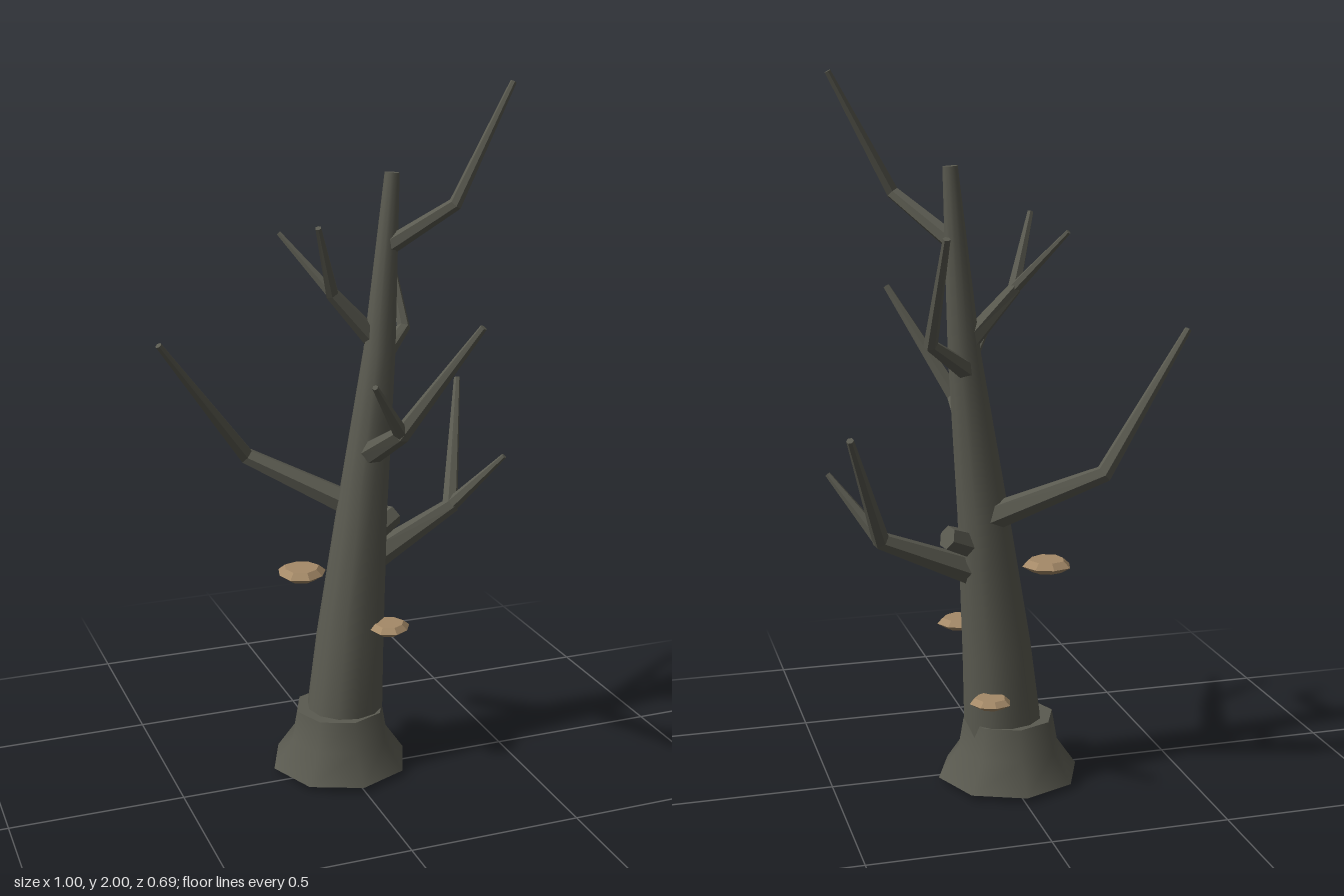
import * as THREE from 'three';
import { toCreasedNormals } from 'three/addons/utils/BufferGeometryUtils.js';

// Capped tapering tube through the given points, with mitred bends.
// wobble makes the rings slightly irregular.
function limb(points, radii, sides, crease = 0, wobble = 0) {
  const p = points.map((a) => new THREE.Vector3(...a));
  const last = p.length - 1;
  const u = new THREE.Vector3(1, 0, 0);
  const first = p[1].clone().sub(p[0]).normalize();
  if (Math.abs(first.x) > 0.8) u.set(0, 0, 1);
  const rings = p.map((c, i) => {
    const t = new THREE.Vector3();
    if (i > 0) t.add(c.clone().sub(p[i - 1]).normalize());
    if (i < last) t.add(p[i + 1].clone().sub(c).normalize());
    t.normalize();
    u.addScaledVector(t, -u.dot(t)).normalize();
    const v = t.clone().cross(u);
    return Array.from({ length: sides }, (_, j) => {
      const a = (j / sides) * Math.PI * 2;
      const r = radii[i] * (1 + wobble * Math.sin(j * 2.4 + 1));
      return c.clone().addScaledVector(u, Math.cos(a) * r).addScaledVector(v, Math.sin(a) * r);
    });
  });
  const out = [];
  const tri = (...vs) => vs.forEach((q) => out.push(q.x, q.y, q.z));
  for (let j = 0; j < sides; j++) {
    const k = (j + 1) % sides;
    for (let i = 0; i < last; i++) {
      const a = rings[i], b = rings[i + 1];
      tri(a[j], a[k], b[k]);
      tri(a[j], b[k], b[j]);
    }
    tri(p[0], rings[0][k], rings[0][j]);
    tri(p[last], rings[last][j], rings[last][k]);
  }
  const g = new THREE.BufferGeometry();
  g.setAttribute('position', new THREE.Float32BufferAttribute(out, 3));
  if (crease > 0) return toCreasedNormals(g, crease);
  g.computeVertexNormals();
  return g;
}

export function createModel() {
  const model = new THREE.Group();
  model.name = 'deadTree';
  const bark = new THREE.MeshStandardMaterial({ color: 0x5a5a50 });
  bark.name = 'bark';
  const tan = new THREE.MeshStandardMaterial({ color: 0xa58a68 });
  tan.name = 'fungusTan';

  const add = (name, geometry, material = bark, parent = model) => {
    const mesh = new THREE.Mesh(geometry, material);
    mesh.name = name;
    parent.add(mesh);
  };

  // Leaning trunk
  add('trunk', limb(
    [[0, 0.013, -0.05], [0.03, 0.4, -0.055], [0.072, 0.8, -0.065], [0.125, 1.25, -0.072], [0.163, 1.75, -0.08]],
    [0.122, 0.1, 0.073, 0.046, 0.021], 12, 0.8));

  // Flared root collar
  add('rootFlare', limb(
    [[-0.005, 0.018, -0.05], [-0.005, 0.1, -0.05], [-0.005, 0.19, -0.05]],
    [0.205, 0.148, 0.132], 8, 0.95));

  // Bent branches: base, elbow, then one or two tips
  const branches = [
    { name: 'lowLeftOuterBranch', base: [0.06, 0.79, -0.1], elbow: [-0.22, 0.93, -0.245],
      tips: [[-0.495, 1.3, -0.145]], r: [0.04, 0.025, 0.01] },
    { name: 'lowForkedBranch', base: [0.1, 0.63, -0.07], elbow: [0.37, 0.75, -0.11],
      tips: [[0.49, 1.08, -0.34], [0.495, 0.92, -0.01]], r: [0.042, 0.026, 0.01] },
    { name: 'frontForkedBranch', base: [0.085, 0.95, -0.06], elbow: [0.085, 1.08, 0.195],
      tips: [[0.255, 1.39, 0.335], [-0.04, 1.25, 0.315]], r: [0.036, 0.025, 0.01] },
    { name: 'backBranch', base: [0.12, 1.2, -0.09], elbow: [0.243, 1.29, -0.18],
      tips: [[0.235, 1.58, -0.335]], r: [0.03, 0.02, 0.01] },
    { name: 'upperForkedBranch', base: [0.115, 1.28, -0.08], elbow: [-0.01, 1.42, -0.09],
      tips: [[-0.083, 1.62, 0.003], [-0.128, 1.58, -0.2]], r: [0.03, 0.02, 0.009] },
    { name: 'topBranch', base: [0.15, 1.545, -0.075], elbow: [0.288, 1.675, 0.068],
      tips: [[0.462, 1.995, 0.05]], r: [0.026, 0.019, 0.009] },
  ];
  for (const { name, base, elbow, tips, r } of branches) {
    const group = new THREE.Group();
    group.name = name;
    model.add(group);
    add('mainLimb', limb([base, elbow, tips[0]], r, 6), bark, group);
    if (tips[1]) add('forkTwig', limb([elbow, tips[1]], [r[1] * 0.85, r[2] * 0.8], 6), bark, group);
  }

  // Broken branch stub
  add('brokenStub', limb([[0.08, 0.7, -0.07], [0.185, 0.745, -0.11]], [0.042, 0.034], 6));

  // Shelf fungi: flat, irregular lens shapes
  const fungi = [[-0.122, 0.625, -0.045, 0.07], [0.118, 0.452, 0.032, 0.061], [0.077, 0.278, -0.168, 0.058]];
  fungi.forEach(([x, y, z, r], i) => {
    const s = r / 0.07;
    add('shelfFungus' + (i + 1), limb(
      [[x, y - 0.018 * s, z], [x, y, z], [x, y + 0.017 * s, z]],
      [r * 0.6, r, r * 0.72], 8, 0, 0.06), tan);
  });

  return model;
}
